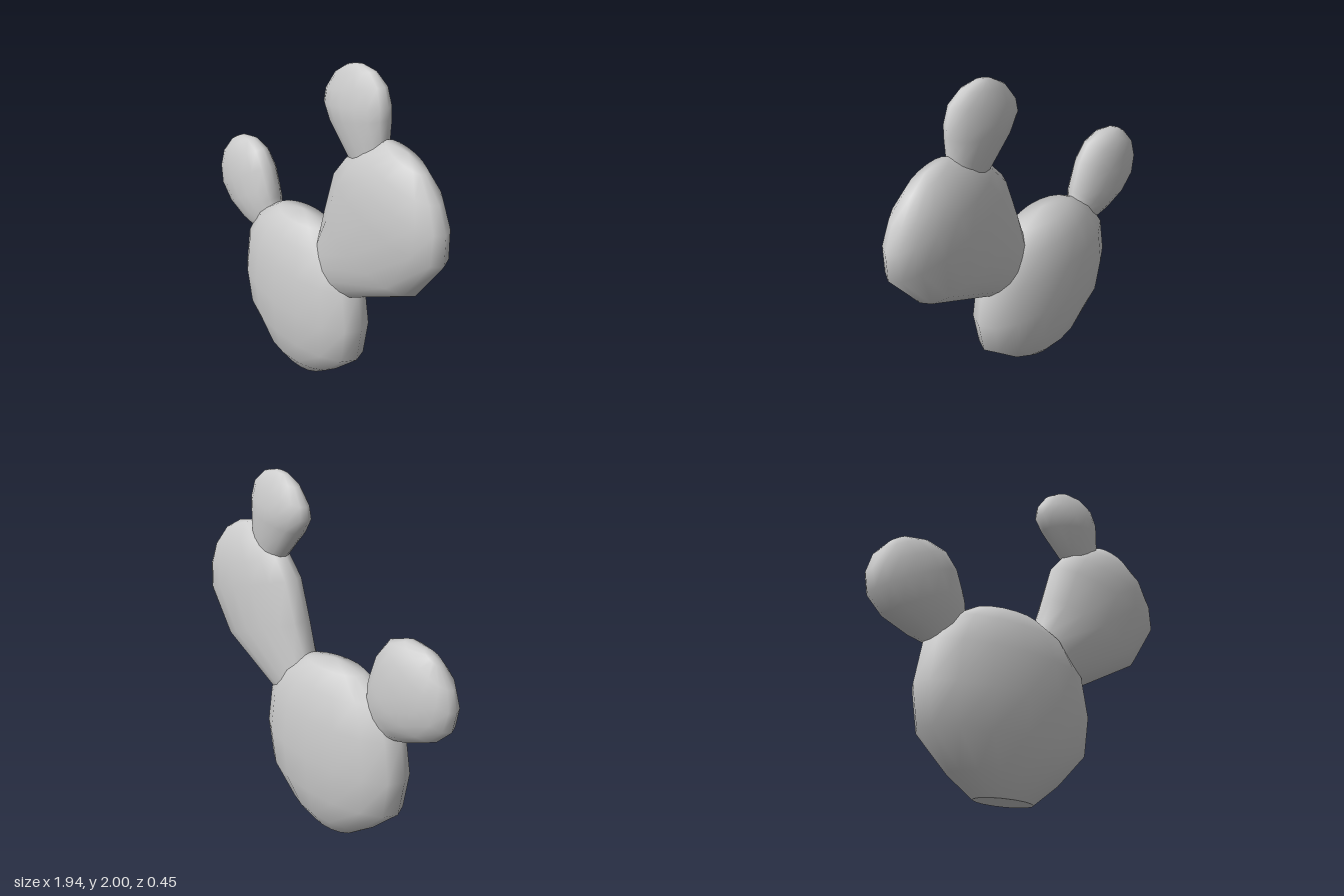
import * as THREE from 'three';

const SIDES = 16;
const material = new THREE.MeshStandardMaterial({ color: 0xcccccc });

// A flattened pad: elliptical rings from base to tip.
// Each row is [leftX, leftY, rightX, rightY, halfDepth]; the tip is [x, y].
function makePad(name, rows, tip) {
  const positions = [];
  const indices = [];

  const addRing = ([lx, ly, rx, ry, depth]) => {
    for (let j = 0; j < SIDES; j++) {
      const t = (j / SIDES) * Math.PI * 2;
      const s = Math.cos(t) / 2;
      positions.push((lx + rx) / 2 + (rx - lx) * s, (ly + ry) / 2 + (ry - ly) * s, depth * Math.sin(t));
    }
  };
  rows.forEach(addRing);

  // Rounded tip
  const tipIndex = rows.length * SIDES;
  positions.push(tip[0], tip[1], 0);

  // Separate ring and centre for a crisp flat base
  const capStart = tipIndex + 1;
  addRing(rows[0]);
  const [lx, ly, rx, ry] = rows[0];
  positions.push((lx + rx) / 2, (ly + ry) / 2, 0);
  const capCentre = capStart + SIDES;

  for (let j = 0; j < SIDES; j++) {
    const k = (j + 1) % SIDES;
    for (let i = 0; i < rows.length - 1; i++) {
      const a = i * SIDES + j;
      const b = i * SIDES + k;
      indices.push(a, a + SIDES, b, b, a + SIDES, b + SIDES);
    }
    const last = (rows.length - 1) * SIDES;
    indices.push(last + j, tipIndex, last + k);
    indices.push(capCentre, capStart + j, capStart + k);
  }

  const geometry = new THREE.BufferGeometry();
  geometry.setAttribute('position', new THREE.Float32BufferAttribute(positions, 3));
  geometry.setIndex(indices);
  geometry.computeVertexNormals();
  const mesh = new THREE.Mesh(geometry, material);
  mesh.name = name;
  return mesh;
}

export function createModel() {
  const cactus = new THREE.Group();
  cactus.name = 'pricklyPear';

  cactus.add(
    // Large pad standing on the ground
    makePad('mainPad', [
      [-0.305, 0, 0.045, 0, 0.09],
      [-0.45, 0.11, 0.19, 0.11, 0.165],
      [-0.635, 0.29, 0.375, 0.29, 0.21],
      [-0.67, 0.51, 0.408, 0.51, 0.225],
      [-0.63, 0.74, 0.37, 0.74, 0.21],
      [-0.52, 0.91, 0.26, 0.91, 0.165],
      [-0.34, 1.015, 0.08, 1.015, 0.1],
    ], [-0.13, 1.05]),

    // Small pad on the model's right shoulder
    makePad('rightPad', [
      [-0.54, 0.66, -0.36, 0.85, 0.06],
      [-0.62, 0.74, -0.4, 0.97, 0.085],
      [-0.71, 0.765, -0.405, 1.01, 0.105],
      [-0.86, 0.83, -0.42, 1.07, 0.12],
      [-0.95, 0.92, -0.46, 1.19, 0.125],
      [-0.97, 1.03, -0.53, 1.28, 0.11],
      [-0.94, 1.14, -0.64, 1.315, 0.08],
      [-0.86, 1.24, -0.76, 1.3, 0.035],
    ], [-0.815, 1.275]),

    // Long leaning pad on the model's left shoulder
    makePad('leftPad', [
      [0.04, 0.9, 0.2, 0.62, 0.1],
      [0.07, 1.01, 0.38, 0.72, 0.12],
      [0.12, 1.19, 0.8, 0.95, 0.15],
      [0.19, 1.42, 0.97, 1.2, 0.155],
      [0.28, 1.53, 0.965, 1.36, 0.14],
      [0.4, 1.62, 0.91, 1.49, 0.115],
      [0.55, 1.69, 0.81, 1.605, 0.06],
    ], [0.69, 1.67]),

    // Smallest pad at the top
    makePad('topPad', [
      [0.36, 1.45, 0.54, 1.55, 0.06],
      [0.28, 1.53, 0.545, 1.69, 0.08],
      [0.14, 1.68, 0.547, 1.78, 0.1],
      [0.09, 1.76, 0.545, 1.84, 0.1],
      [0.1, 1.83, 0.515, 1.93, 0.085],
      [0.165, 1.925, 0.44, 1.985, 0.055],
      [0.25, 1.98, 0.35, 2, 0.025],
    ], [0.3, 1.995]),
  );
  return cactus;
}
